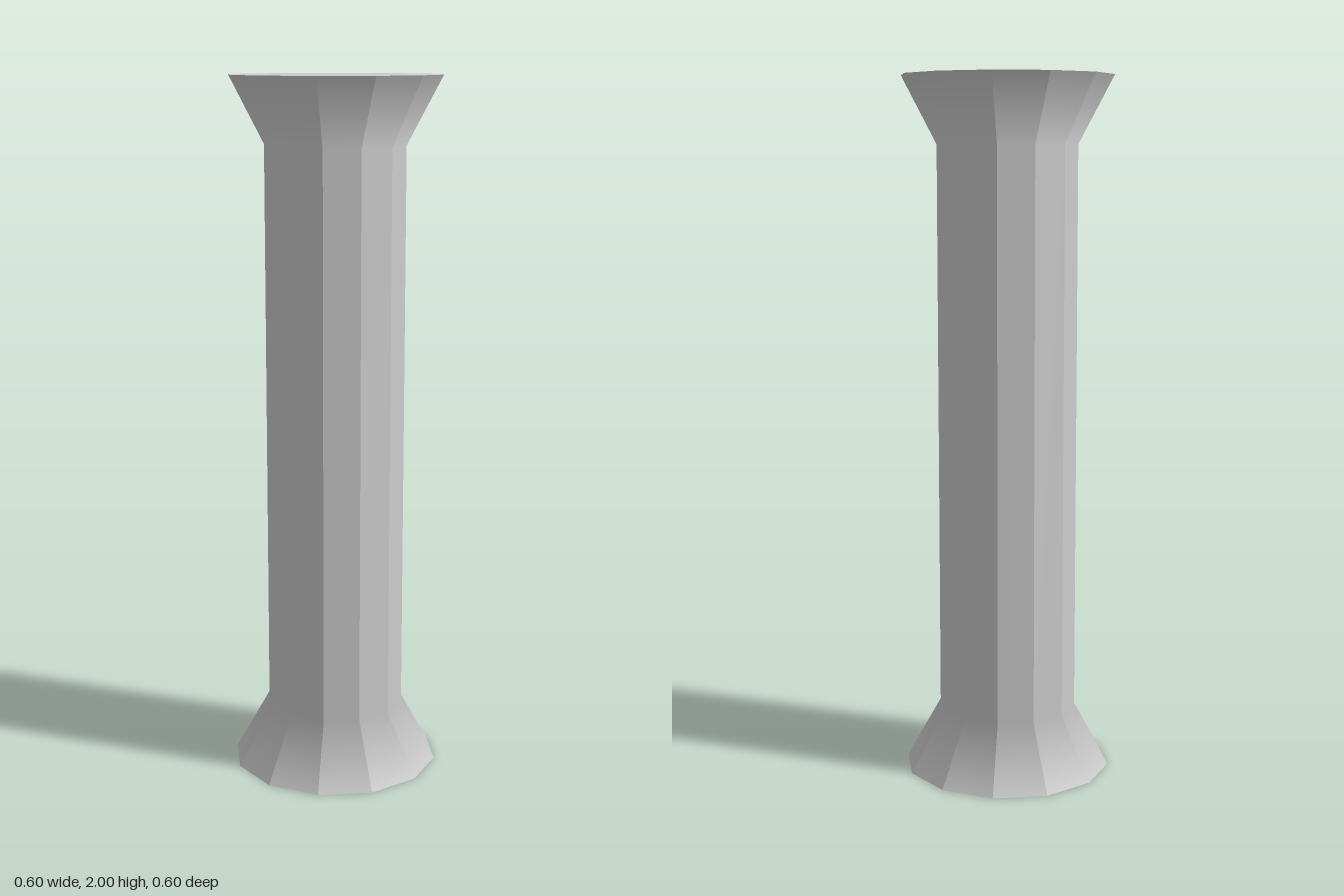
import * as THREE from 'three';

const SIDES = 12;
const NECK = 0.2, RIM = 0.3;
const LOW = 0.18, HIGH = 1.81, TOP = 2;

// Open faceted ring; facets stay sharp around the column, while normals at the
// neck are levelled so each flare blends into the shaft.
function facetedRing(rTop, rBottom, y0, y1) {
  const geo = new THREE.CylinderGeometry(rTop, rBottom, y1 - y0, SIDES, 1, true).toNonIndexed();
  geo.translate(0, (y0 + y1) / 2, 0);
  geo.computeVertexNormals();
  const p = geo.attributes.position, n = geo.attributes.normal;
  const v = new THREE.Vector3();
  for (let i = 0; i < p.count; i++) {
    if (Math.hypot(p.getX(i), p.getZ(i)) > NECK + 0.01) continue;
    v.set(n.getX(i), 0, n.getZ(i)).normalize();
    n.setXYZ(i, v.x, v.y, v.z);
  }
  return geo;
}

// Flat twelve-sided end face, facing up or down
function endFace(y, up) {
  const geo = new THREE.CircleGeometry(RIM, SIDES);
  geo.rotateX(up ? -Math.PI / 2 : Math.PI / 2);
  geo.translate(0, y, 0);
  return geo;
}

export function createModel() {
  const group = new THREE.Group();
  group.name = 'column';
  const material = new THREE.MeshStandardMaterial({ color: 0xcccccc });

  const add = (name, geo) => {
    const mesh = new THREE.Mesh(geo, material);
    mesh.name = name;
    group.add(mesh);
  };

  add('base', facetedRing(NECK, RIM, 0, LOW));
  add('shaft', facetedRing(NECK, NECK, LOW, HIGH));
  add('capital', facetedRing(RIM, NECK, HIGH, TOP));
  add('baseUnderside', endFace(0, false));
  add('capitalTop', endFace(TOP, true));

  return group;
}
